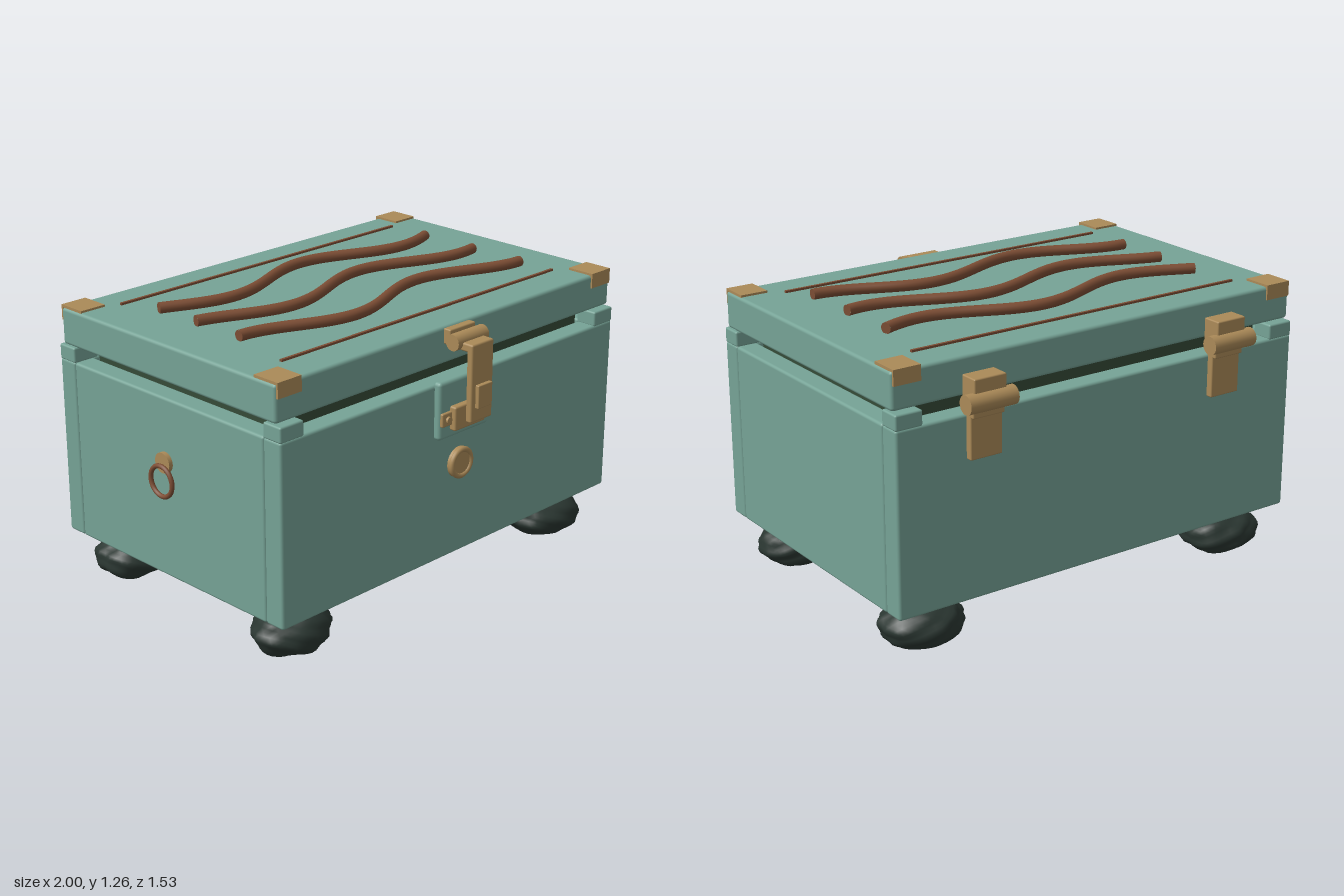
import * as THREE from 'three';
import { mergeVertices } from 'three/addons/utils/BufferGeometryUtils.js';
import { RoundedBoxGeometry } from 'three/addons/geometries/RoundedBoxGeometry.js';

export function createModel() {
  const chest = new THREE.Group();
  chest.name = 'chest';
  const mat = (name, color) => {
    const m = new THREE.MeshStandardMaterial({ color });
    m.name = name;
    return m;
  };
  const teal = mat('teal paint', 0x76a396);
  const brass = mat('brass', 0xab8a58);
  const brown = mat('brown copper', 0x7c4d34);
  const seal = mat('dark green seal', 0x354b38);
  const stone = mat('dark stone', 0x2a3631);

  const add = (name, geo, material, parent = chest) => {
    const m = new THREE.Mesh(geo, material);
    m.name = name;
    parent.add(m);
    return m;
  };
  // Box given by its limits on each axis, with optional rounded edges
  const box = (name, material, [x0, x1], [y0, y1], [z0, z1], r = 0, parent = chest) => {
    const s = [x1 - x0, y1 - y0, z1 - z0];
    const geo = r ? new RoundedBoxGeometry(...s, 2, r) : new THREE.BoxGeometry(...s);
    const m = add(name, geo, material, parent);
    m.position.set((x0 + x1) / 2, (y0 + y1) / 2, (z0 + z1) / 2);
    return m;
  };
  const rod = (name, material, axis, r, len, pos, parent = chest) => {
    const geo = new THREE.CylinderGeometry(r, r, len, 28);
    if (axis === 'x') geo.rotateZ(Math.PI / 2);
    if (axis === 'z') geo.rotateX(Math.PI / 2);
    const m = add(name, geo, material, parent);
    m.position.set(...pos);
    return m;
  };
  const group = (name) => {
    const g = new THREE.Group();
    g.name = name;
    chest.add(g);
    return g;
  };
  const cx = 0.015;

  // Body panels, floor and lid
  const X = [-0.965, 0.995];
  box('frontPanel', teal, X, [0.22, 0.99], [0.535, 0.63], 0.012);
  box('backPanel', teal, X, [0.22, 0.99], [-0.675, -0.58], 0.012);
  box('rightPanel', teal, [-0.965, -0.87], [0.22, 0.99], [-0.582, 0.537], 0.012);
  box('leftPanel', teal, [0.9, 0.995], [0.22, 0.99], [-0.582, 0.537], 0.012);
  box('basePlate', teal, [-0.885, 0.915], [0.185, 0.26], [-0.58, 0.535], 0.01);
  box('lid', teal, X, [1.055, 1.21], [-0.65, 0.605], 0.014);
  box('lidSeal', seal, [-0.85, 0.88], [0.97, 1.046], [-0.565, 0.52]);

  // Corner blocks under the lid and metal corner plates on top of it
  for (const [x0, x1] of [[-0.965, -0.845], [0.875, 0.995]]) {
    box('cornerBlock', teal, [x0, x1], [0.985, 1.05], [0.535, 0.63], 0.008);
    box('cornerBlock', teal, [x0, x1], [0.985, 1.05], [-0.675, -0.58], 0.008);
  }
  for (const [x0, x1] of [[-0.958, -0.838], [0.868, 0.988]]) {
    box('cornerTop', brass, [x0, x1], [1.208, 1.219], [0.485, 0.612]);
    box('cornerFront', brass, [x0, x1], [1.155, 1.219], [0.603, 0.612]);
    box('cornerTop', brass, [x0, x1], [1.208, 1.219], [-0.657, -0.53]);
    box('cornerBack', brass, [x0, x1], [1.155, 1.219], [-0.657, -0.648]);
  }

  // Wavy rods and straight inlay lines on the lid
  for (const [z, phase] of [[-0.285, 0.085], [-0.031, 0.18], [0.228, 0.265]]) {
    const pts = [];
    for (let i = 0; i <= 32; i++) {
      const x = -0.735 + (1.5 * i) / 32;
      pts.push(new THREE.Vector3(x, 1.231, z - 0.069 * Math.cos(2 * Math.PI * (x - phase))));
    }
    const curve = new THREE.CatmullRomCurve3(pts);
    add('waveRod', new THREE.TubeGeometry(curve, 96, 0.023, 14), brown);
    for (const t of [0, 1]) {
      const cap = add('waveRodEnd', new THREE.CircleGeometry(0.023, 14), brown);
      const p = curve.getPoint(t);
      cap.position.copy(p);
      cap.lookAt(p.clone().addScaledVector(curve.getTangent(t), t ? 1 : -1));
    }
  }
  for (const z of [-0.5, 0.44]) {
    box('inlayLine', brown, [-0.78, 0.81], [1.208, 1.219], [z - 0.006, z + 0.006]);
  }

  // Rough stone feet: squashed spheres with a lumpy surface
  const foot = (x, z, seed) => {
    let geo = new THREE.IcosahedronGeometry(1, 7);
    geo.deleteAttribute('normal');
    geo.deleteAttribute('uv');
    geo = mergeVertices(geo, 1e-4);
    const p = geo.attributes.position;
    const v = new THREE.Vector3();
    for (let i = 0; i < p.count; i++) {
      v.fromBufferAttribute(p, i);
      const lump = 0.05 * Math.sin(4 * v.x + seed) * Math.cos(5 * v.z + 2 * seed)
        + 0.03 * Math.sin(9 * v.y + 7 * v.x + seed) + 0.022 * Math.sin(13 * v.z - 11 * v.x + 3 * seed);
      v.multiplyScalar(1 + lump);
      p.setXYZ(i, v.x * 0.174, v.y * 0.098, v.z * 0.148);
    }
    geo.computeVertexNormals();
    add('foot', geo, stone).position.set(x, 0.1, z);
  };
  [[-0.757, 0.455], [0.788, 0.455], [-0.757, -0.504], [0.788, -0.504]]
    .forEach(([x, z], i) => foot(x, z, 1.3 + i * 1.7));

  // Front latch: backing plate, keeper, pivot and swinging arm
  const latch = group('latch');
  box('latchBacking', teal, [-0.135, 0.16], [0.76, 1.005], [0.62, 0.66], 0.015, latch);
  box('keeperEars', brass, [-0.13, 0.16], [0.82, 0.878], [0.655, 0.672], 0.006, latch);
  box('keeper', brass, [-0.075, 0.105], [0.795, 0.897], [0.655, 0.69], 0.008, latch);
  for (const x of [-0.098, 0.128]) rod('keeperScrew', brass, 'z', 0.014, 0.012, [x, 0.848, 0.676], latch);
  box('latchMount', brass, [-0.06, 0.09], [1.14, 1.205], [0.603, 0.64], 0.006, latch);
  rod('latchPivot', brass, 'x', 0.034, 0.18, [cx, 1.162, 0.664], latch);
  box('latchBridge', brass, [-0.05, 0.077], [1.13, 1.165], [0.66, 0.748], 0.008, latch);
  box('latchArm', brass, [-0.05, 0.077], [0.838, 1.155], [0.718, 0.748], 0.008, latch);
  box('latchGrip', brass, [-0.026, 0.056], [0.897, 0.995], [0.74, 0.765], 0.004, latch);

  // Round stud on the front
  const stud = group('stud');
  rod('studDisc', brass, 'z', 0.055, 0.022, [cx, 0.625, 0.641], stud);
  const rim = add('studRim', new THREE.TorusGeometry(0.056, 0.012, 12, 40), brass, stud);
  rim.position.set(cx, 0.625, 0.647);
  rod('studRimBase', brass, 'z', 0.066, 0.02, [cx, 0.625, 0.637], stud);

  // Pull ring on the right side
  const pull = group('pullRing');
  rod('ringMount', brass, 'x', 0.043, 0.02, [-0.973, 0.72, -0.028], pull);
  const ring = add('ring', new THREE.TorusGeometry(0.064, 0.01, 12, 40), brown, pull);
  ring.rotation.y = Math.PI / 2;
  ring.position.set(-0.99, 0.645, -0.028);

  // Rear hinges
  for (const x of [-0.58, 0.61]) {
    const hinge = group('hinge');
    const w = [x - 0.073, x + 0.073];
    rod('hingeBarrel', brass, 'x', 0.039, 0.218, [x, 1.046, -0.723], hinge);
    box('hingeUpperBlock', brass, w, [1.05, 1.14], [-0.73, -0.645], 0.006, hinge);
    box('hingeLink', brass, w, [0.98, 1.04], [-0.72, -0.68], 0.006, hinge);
    box('hingeLeaf', brass, w, [0.81, 1.04], [-0.703, -0.67], 0.006, hinge);
  }
  return chest;
}
